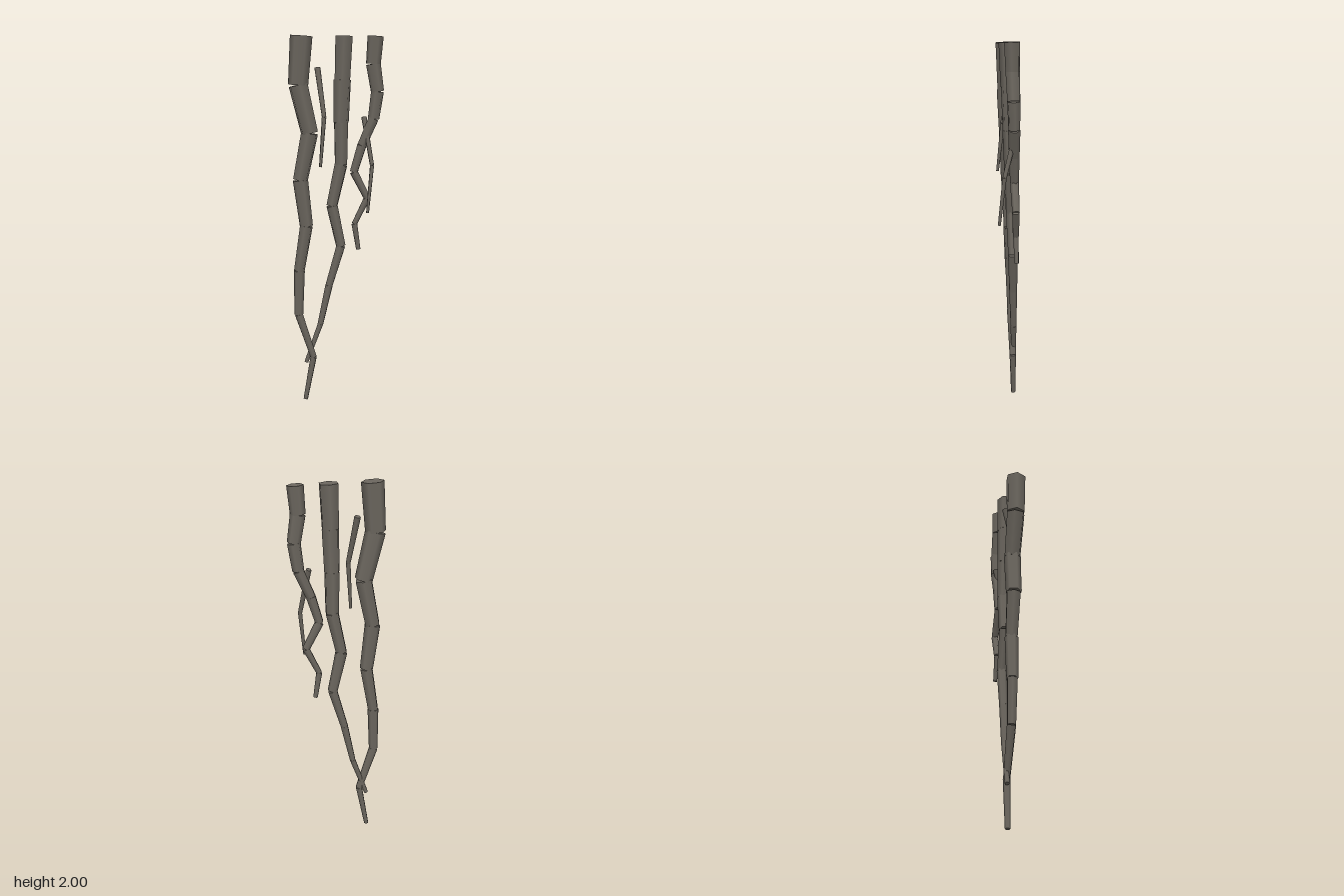
import * as THREE from 'three';

const BACK = -0.057; // the thick roots all lie flat against this plane

const bark = new THREE.MeshStandardMaterial({ color: 0x6b665e });
bark.name = 'greyBrownBark';

const UP = new THREE.Vector3(0, 1, 0);

// One tapered piece running from a down to b
function segment(a, b, ra, rb, sides, name) {
  const dir = b.clone().sub(a);
  const mesh = new THREE.Mesh(new THREE.CylinderGeometry(rb, ra, dir.length(), sides), bark);
  mesh.position.copy(a).add(b).multiplyScalar(0.5);
  mesh.quaternion.setFromUnitVectors(UP, dir.normalize());
  mesh.name = name;
  return mesh;
}

// Chain of tapered pieces; without a list of z values it hugs the back plane
function root(name, { xs, top, bottom, r0, r1, zs, sides = 6 }) {
  const group = new THREE.Group();
  group.name = name;
  const n = xs.length - 1;
  const radius = (i) => THREE.MathUtils.lerp(r0, r1, i / n);
  const points = xs.map((x, i) => new THREE.Vector3(
    x,
    THREE.MathUtils.lerp(top, bottom, i / n),
    zs ? zs[i] : BACK + radius(i)
  ));
  for (let i = 0; i < n; i++) {
    group.add(segment(points[i], points[i + 1], radius(i), radius(i + 1), sides, `${name}Segment${i + 1}`));
  }
  return group;
}

export function createModel() {
  const model = new THREE.Group();
  model.name = 'hangingRoots';

  // Three thick crooked roots
  model.add(root('longRoot', {
    xs: [-0.18, -0.198, -0.14, -0.19, -0.16, -0.2, -0.205, -0.125, -0.17],
    top: 1.996, bottom: 0.005, r0: 0.058, r1: 0.013,
  }));
  model.add(root('middleRoot', {
    xs: [0.04, 0.032, 0.026, 0.026, -0.022, 0.026, -0.038, -0.086, -0.165],
    top: 1.996, bottom: 0.222, r0: 0.051, r1: 0.012,
  }));
  model.add(root('shortRoot', {
    xs: [0.204, 0.194, 0.217, 0.198, 0.137, 0.095, 0.168, 0.1, 0.122],
    top: 1.996, bottom: 0.865, r0: 0.042, r1: 0.012,
  }));

  // Two thin rootlets curling forward
  model.add(root('upperRootlet', {
    xs: [-0.098, -0.065, -0.085], zs: [-0.042, 0.022, 0.048],
    top: 1.835, bottom: 1.325, r0: 0.017, r1: 0.008, sides: 5,
  }));
  model.add(root('lowerRootlet', {
    xs: [0.148, 0.187, 0.163], zs: [-0.042, 0.022, 0.048],
    top: 1.58, bottom: 1.08, r0: 0.015, r1: 0.008, sides: 5,
  }));
  return model;
}
